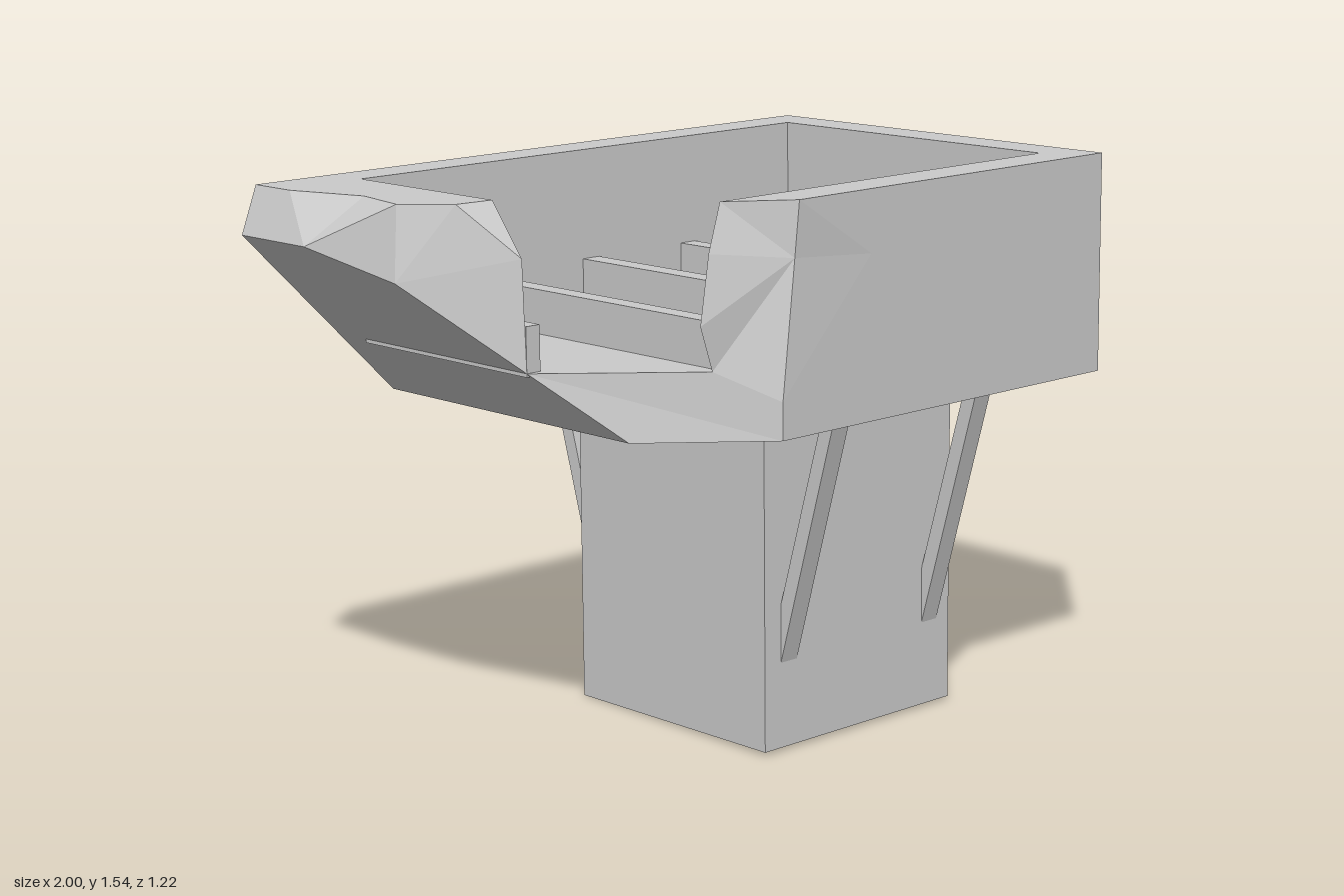
import * as THREE from 'three';

const mat = new THREE.MeshStandardMaterial({ color: 0xcccccc, flatShading: true, side: THREE.DoubleSide });
const Y0 = 0.92, YF = 1.1, Y1 = 1.527; // underside, floor and rim heights
const O = 0.607, I = 0.487;            // outer and inner half depth
const XR = 1, XI = 0.88, XL = -0.7;    // right end, inner right, inner left

function add(group, name, geometry) {
  const mesh = new THREE.Mesh(geometry, mat);
  mesh.name = name;
  group.add(mesh);
  return mesh;
}

// box given by its limits
function block(group, name, x0, x1, y0, y1, z0, z1) {
  add(group, name, new THREE.BoxGeometry(x1 - x0, y1 - y0, z1 - z0))
    .position.set((x0 + x1) / 2, (y0 + y1) / 2, (z0 + z1) / 2);
}

// flat polygons, each cut as a fan from its first corner
function polygons(faces) {
  const pos = [];
  for (const f of faces)
    for (let i = 1; i < f.length - 1; i++) pos.push(...f[0], ...f[i], ...f[i + 1]);
  const g = new THREE.BufferGeometry();
  g.setAttribute('position', new THREE.Float32BufferAttribute(pos, 3));
  g.computeVertexNormals();
  return g;
}

function troughFaces() {
  // outer corners
  const botBL = [-0.52, Y0, -O], botBR = [XR, Y0, -O], botFR = [XR, Y0, O];
  const topBR = [XR, Y1, -O], topFR = [XR, Y1, O];
  const sideBack = [-1, 1.4, -O], topBL = [-0.95, Y1, -O];
  // inner corners
  const inBL = [XL, Y1, -I], inBR = [XI, Y1, -I], inFR = [XI, Y1, I];
  const floorBL = [XL, YF, -I], floorBR = [XI, YF, -I], floorFR = [XI, YF, I];
  // broken edge of the left wall
  const k = [-1, 1.4, -0.34], m = [-0.95, Y1, -0.46], o = [-0.88, Y1, -0.24], u = [-0.91, Y1, -0.07];
  const v = [-0.81, Y1, 0.04], w = [XL, Y1, 0.05], x = [XL, 1.39, 0.16], j = [-0.93, 1.33, -0.06];
  // broken edge of the floor
  const h = [XL, YF, 0.17], s = [-0.52, Y0, 0.35], r = [-0.23, Y0, O], e = [-0.36, YF, I];
  // broken edge of the front wall
  const t = [-0.17, Y1, O], p = [0.09, 1.36, O], q = [-0.23, 1.02, O];
  const a = [-0.33, Y1, I], b = [-0.37, 1.4, I], c = [-0.4, 1.22, I], hub = [-0.18, 1.38, 0.6];

  const faces = [
    // outside
    [botBR, topBR, topFR, botFR],
    [botBL, sideBack, topBL, topBR, botBR],
    [botBL, botBR, botFR, r, s],
    [p, q, r, botFR, topFR, t],
    [botBL, s, h, j, k, sideBack],
    [sideBack, k, m, topBL],
    // rim
    [topBL, inBL, inBR, topBR],
    [inBL, topBL, m, o, u, v, w],
    [inBR, inFR, topFR, topBR],
    [a, t, topFR, inFR],
    // inside
    [floorBL, floorBR, inBR, inBL],
    [floorBR, floorFR, inFR, inBR],
    [floorBL, inBL, w, x, h],
    [floorFR, e, c, b, a, inFR],
    [floorBL, h, e, floorFR, floorBR],
    // broken facets
    [k, o, m], [k, u, o], [k, j, u], [j, v, u], [j, x, v], [v, x, w], [j, h, x],
    [h, s, r, e], [e, r, q],
  ];
  // chipped end of the front wall
  const chip = [t, a, b, c, e, q, p];
  chip.forEach((pt, i) => faces.push([hub, pt, chip[(i + 1) % chip.length]]));
  return faces;
}

// slanted brace: profile in depth and height, extruded across its width
function braceGeometry(width) {
  const shape = new THREE.Shape([[0.36, 0.22], [0.562, 0.93], [0.518, 0.93], [0.36, 0.38]]
    .map(([z, y]) => new THREE.Vector2(z, y)));
  const g = new THREE.ExtrudeGeometry(shape, { depth: width, bevelEnabled: false });
  g.rotateY(-Math.PI / 2);
  g.translate(width / 2, 0, 0);
  return g;
}

export function createModel() {
  const model = new THREE.Group();
  model.name = 'brokenTrough';

  const body = new THREE.Group();
  body.name = 'tiltedBody';
  body.rotation.x = -0.0142;
  body.position.set(0, 0.005, 0.016);
  model.add(body);

  add(body, 'trough', polygons(troughFaces()));
  block(body, 'pedestal', -0.06, 0.66, 0, Y0 + 0.01, -0.365, 0.365);

  // cross beams on the floor, the first one shortened by the break
  for (const [x0, x1, z1] of [[-0.7, -0.655, 0.17], [-0.335, -0.28, I], [0.07, 0.13, I], [0.445, 0.5, I], [0.83, XI, I]])
    block(body, 'floorBeam', x0, x1, YF - 0.01, 1.22, -I, z1);

  // two braces on the front and two on the back
  const brace = braceGeometry(0.06);
  for (const x of [0.03, 0.58])
    for (const side of [0, 1]) {
      const mesh = add(body, side ? 'backBrace' : 'frontBrace', brace);
      mesh.position.x = x;
      mesh.rotation.y = side * Math.PI;
    }
  return model;
}
